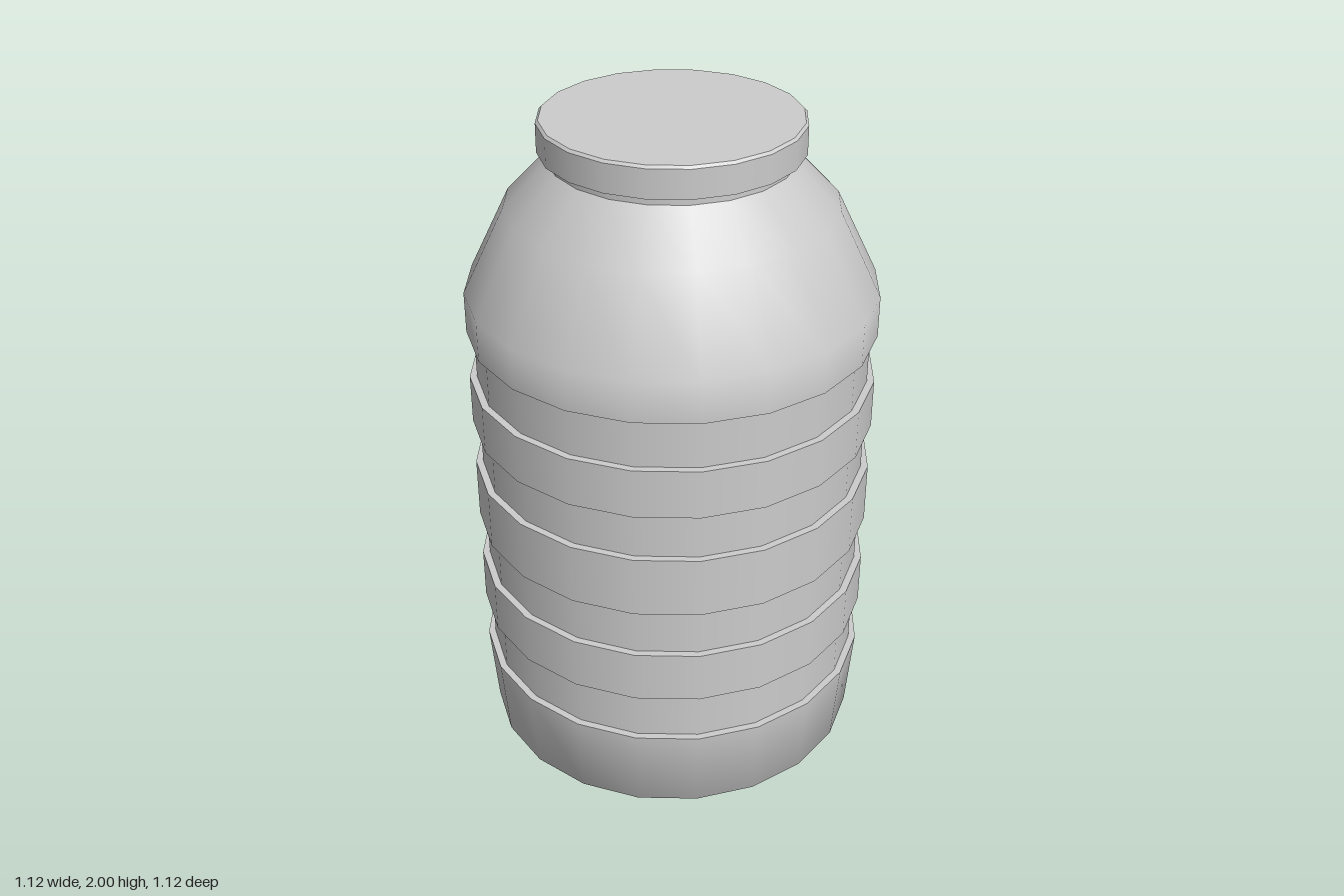
import * as THREE from 'three';

const SIDES = 20;
const OUTER = 0.56, GROOVE = 0.54;

export function createModel() {
  const model = new THREE.Group();
  const material = new THREE.MeshStandardMaterial({ color: 0xcccccc, side: THREE.DoubleSide });

  // Each profile is smooth within itself; edges between profiles stay sharp.
  function turn(name, parent, ...profile) {
    const points = profile.map(([r, y]) => new THREE.Vector2(r, y));
    const mesh = new THREE.Mesh(new THREE.LatheGeometry(points, SIDES), material);
    mesh.name = name;
    parent.add(mesh);
  }

  // Body: open base, ribbed wall, shoulder and neck
  const body = new THREE.Group();
  body.name = 'body';
  model.add(body);
  turn('base', body, [0.38, 0], [0.54, 0.145], [OUTER, 0.39]);

  // Grooves, each with its lower and upper ledge
  const grooves = [[0.39, 0.535], [0.685, 0.825], [1.0, 1.135], [1.275, 1.415]];
  grooves.forEach(([low, high], i) => {
    turn('lowerLedge', body, [OUTER, low], [GROOVE, low]);
    turn('groove', body, [GROOVE, low], [GROOVE, high]);
    turn('upperLedge', body, [GROOVE, high], [OUTER, high]);
    // Raised band up to the next groove
    if (i < grooves.length - 1) turn('band', body, [OUTER, high], [OUTER, grooves[i + 1][0]]);
  });

  turn('shoulder', body, [OUTER, 1.415], [OUTER, 1.53], [0.445, 1.765], [0.325, 1.89]);
  turn('neck', body, [0.325, 1.89], [0.325, 1.915]);

  // Lid with a small bevel around its flat top
  const lid = new THREE.Group();
  lid.name = 'lid';
  model.add(lid);
  turn('lidUnderside', lid, [0.325, 1.915], [0.35, 1.915]);
  turn('lidSide', lid, [0.35, 1.915], [0.35, 1.993]);
  turn('lidBevel', lid, [0.35, 1.993], [0.343, 2]);
  turn('lidTop', lid, [0.343, 2], [0, 2]);

  return model;
}
